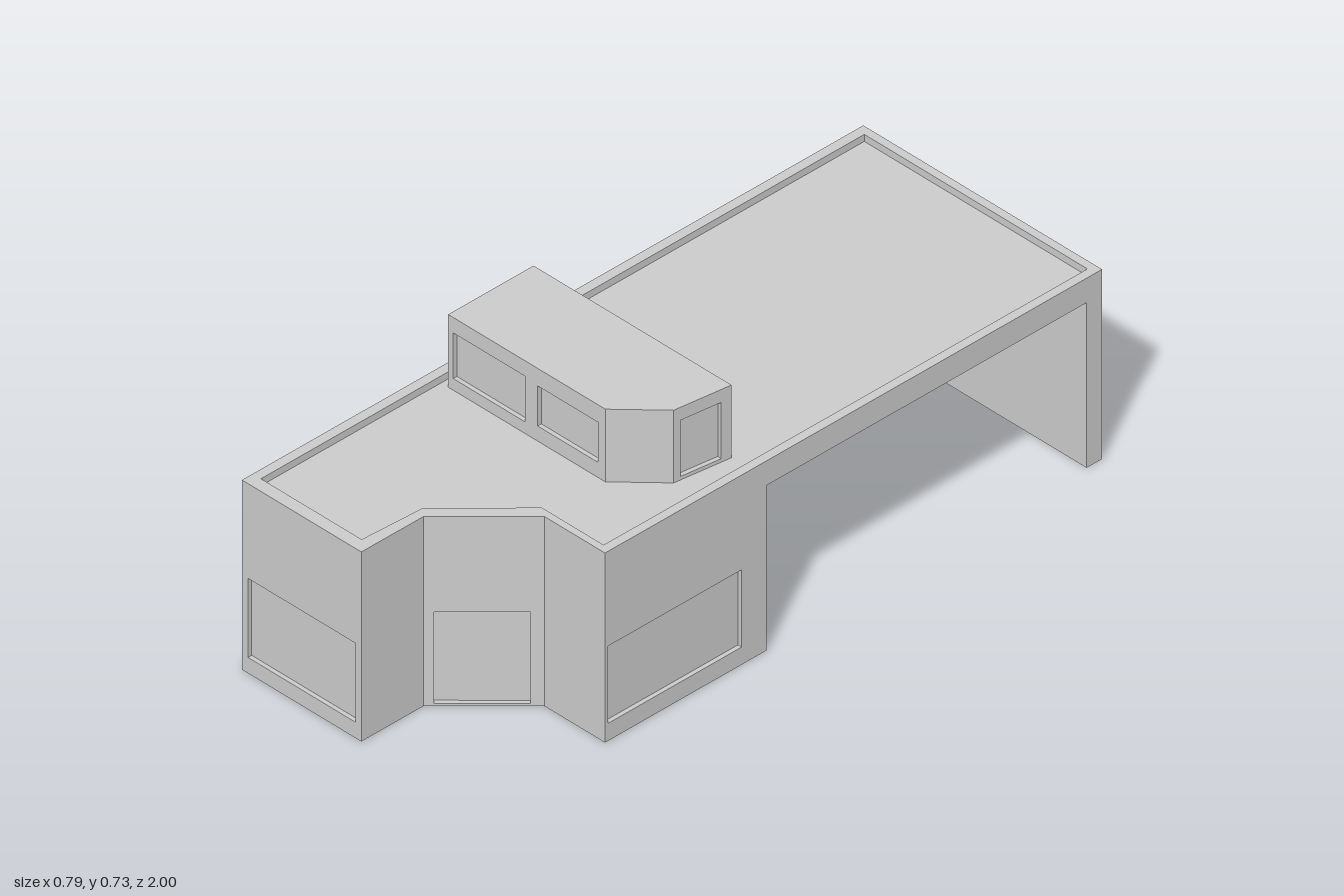
import * as THREE from 'three';

const mat = new THREE.MeshStandardMaterial({ color: 0xcccccc, side: THREE.DoubleSide, flatShading: true });
const TOP = 0.54, DECK = 0.52, SOFFIT = 0.47, RECESS = 0.012;

const toShape = pts => new THREE.Shape(pts.map(p => new THREE.Vector2(p[0], p[1])));
const rect = (u0, u1, v0, v1) => [[u0, v0], [u1, v0], [u1, v1], [u0, v1]];

function addMesh(parent, name, geometry) {
  const mesh = new THREE.Mesh(geometry, mat);
  mesh.name = name;
  parent.add(mesh);
  return mesh;
}

// Upright panel from a to b ([x, z], left to right seen from outside), with recessed openings [u0, u1, v0, v1]
function panel(parent, name, a, b, outline, openings = [], openingName = 'window') {
  const g = new THREE.Group();
  g.name = name;
  g.position.set(a[0], 0, a[1]);
  g.rotation.y = Math.atan2(a[1] - b[1], b[0] - a[0]);
  const shape = toShape(outline);
  for (const o of openings) {
    shape.holes.push(new THREE.Path(rect(...o).map(p => new THREE.Vector2(...p))));
    const [u0, u1, v0, v1] = o, w = u1 - u0, h = v1 - v0, cu = (u0 + u1) / 2, cv = (v0 + v1) / 2;
    addMesh(g, openingName + 'Pane', new THREE.PlaneGeometry(w, h)).position.set(cu, cv, -RECESS);
    for (const s of [-1, 1]) {
      const jamb = addMesh(g, openingName + 'Jamb', new THREE.PlaneGeometry(RECESS, h));
      jamb.position.set(cu + s * w / 2, cv, -RECESS / 2);
      jamb.rotation.y = -s * Math.PI / 2;
      const sill = addMesh(g, openingName + 'Sill', new THREE.PlaneGeometry(w, RECESS));
      sill.position.set(cu, cv + s * h / 2, -RECESS / 2);
      sill.rotation.x = s * Math.PI / 2;
    }
  }
  addMesh(g, name + 'Surface', new THREE.ShapeGeometry(shape));
  parent.add(g);
}

// Plain rectangular panel
function wall(parent, name, a, b, y0, y1, openings, openingName) {
  const length = Math.hypot(b[0] - a[0], b[1] - a[1]);
  panel(parent, name, a, b, rect(0, length, y0, y1), openings, openingName);
}

// Horizontal sheet from [x, z] points
function sheet(parent, name, pts, y, hole, down = false) {
  const flip = p => new THREE.Vector2(p[0], down ? p[1] : -p[1]);
  const shape = new THREE.Shape(pts.map(flip));
  if (hole) shape.holes.push(new THREE.Path(hole.map(flip)));
  const mesh = addMesh(parent, name, new THREE.ShapeGeometry(shape));
  mesh.rotation.x = down ? Math.PI / 2 : -Math.PI / 2;
  mesh.position.y = y;
}

export function createModel() {
  const model = new THREE.Group();
  model.name = 'house';

  const X = 0.395;
  const plan = [[-X, 1], [0, 1], [0, 0.8], [0.195, 0.6], [X, 0.6], [X, -1], [-X, -1]];
  const deck = [[-0.368, 0.965], [-0.035, 0.965], [-0.025, 0.78], [0.165, 0.58], [0.37, 0.58], [0.37, -0.977], [-0.368, -0.977]];

  // Front walls of the house
  const house = new THREE.Group();
  house.name = 'groundFloor';
  model.add(house);
  wall(house, 'frontWall', plan[0], plan[1], 0, TOP, [[0.02, 0.375, 0.045, 0.27]]);
  wall(house, 'wingSideWall', plan[1], plan[2], 0, TOP);
  wall(house, 'entranceWall', plan[2], plan[3], 0, TOP, [[0.024, 0.247, 0.008, 0.268]], 'door');
  wall(house, 'frontReturnWall', plan[3], plan[4], 0, TOP);

  // Long sides, each cut out for the carport
  panel(house, 'leftSide', plan[4], plan[5],
    [[0, 0], [0.52, 0], [0.52, SOFFIT], [1.55, SOFFIT], [1.55, 0], [1.6, 0], [1.6, TOP], [0, TOP]],
    [[0.01, 0.44, 0.05, 0.27]]);
  panel(house, 'rightSide', plan[6], plan[0],
    [[0, 0], [0.05, 0], [0.05, SOFFIT], [1.08, SOFFIT], [1.08, 0], [2, 0], [2, TOP], [0, TOP]],
    [[1.16, 1.59, 0.05, 0.27]]);

  // Carport
  const carport = new THREE.Group();
  carport.name = 'carport';
  model.add(carport);
  wall(carport, 'endWallOuter', plan[5], plan[6], 0, TOP);
  wall(carport, 'endWallInner', [-X, -0.95], [X, -0.95], 0, SOFFIT);
  wall(carport, 'houseBackWall', [X, 0.08], [-X, 0.08], 0, SOFFIT);
  sheet(carport, 'endWallFoot', [[-X, -1], [X, -1], [X, -0.95], [-X, -0.95]], 0, null, true);
  sheet(carport, 'carportCeiling', [[-X, -0.95], [X, -0.95], [X, 0.08], [-X, 0.08]], SOFFIT, null, true);

  // Sunken roof deck with a low parapet
  const roof = new THREE.Group();
  roof.name = 'roof';
  model.add(roof);
  sheet(roof, 'parapetTop', plan, TOP, deck);
  sheet(roof, 'roofDeck', deck, DECK);
  deck.forEach((p, i) => wall(roof, 'parapetInside', deck[(i + 1) % deck.length], p, DECK, TOP));

  // Upper room
  const upper = new THREE.Group();
  upper.name = 'upperRoom';
  model.add(upper);
  const room = [[-0.345, 0.385], [0.175, 0.385], [0.288, 0.275], [0.31, 0.11], [-0.345, 0.11]];
  const openings = {
    0: [[0.017, 0.255, 0.553, 0.683], [0.296, 0.496, 0.563, 0.677]],
    2: [[0.02, 0.136, 0.53, 0.69]],
  };
  room.forEach((p, i) => wall(upper, 'upperWall', p, room[(i + 1) % room.length], DECK, 0.727,
    openings[i], i === 2 ? 'upperDoor' : 'upperWindow'));
  sheet(upper, 'upperRoof', room, 0.727);

  return model;
}
